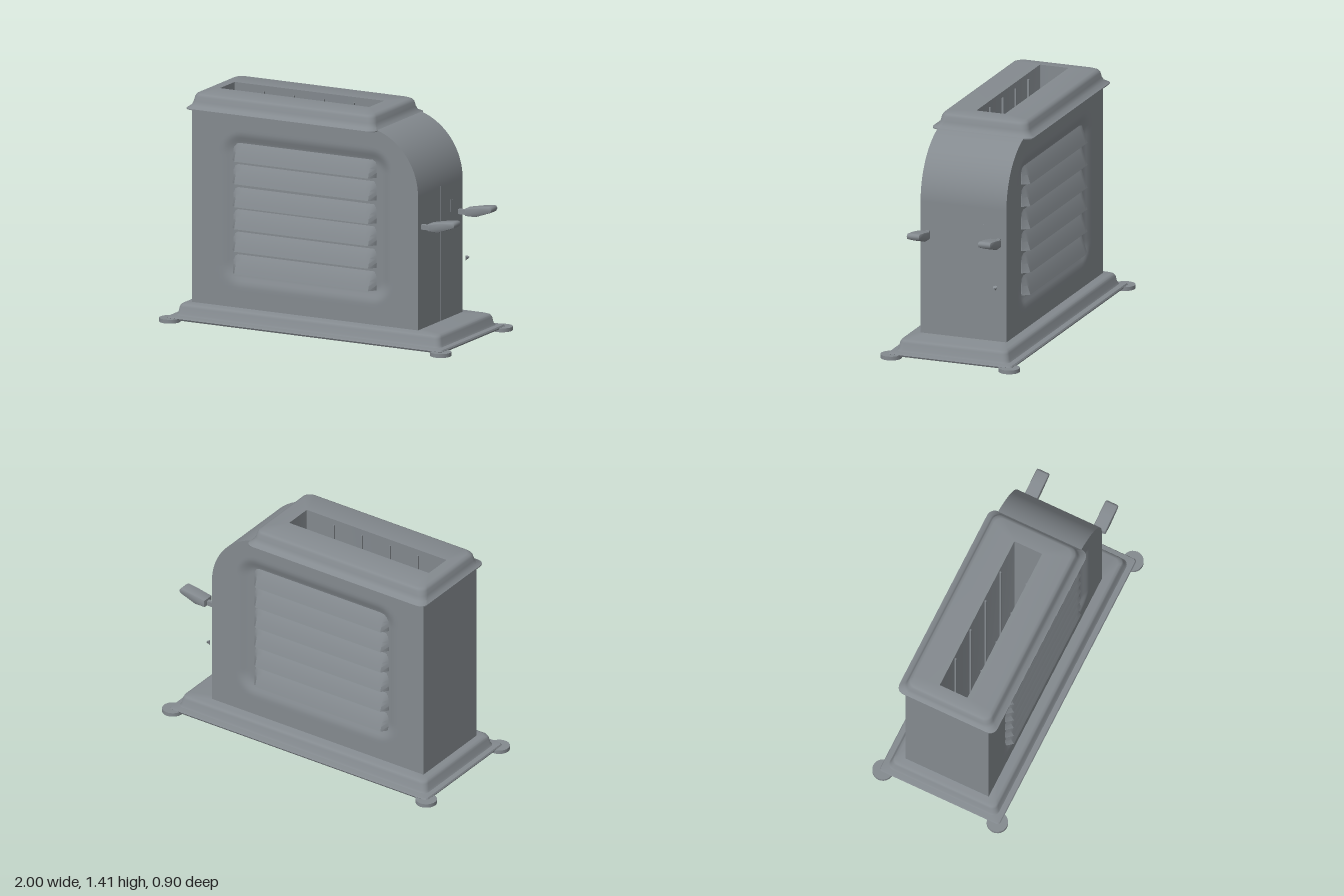
import * as THREE from 'three';
import { toCreasedNormals } from 'three/addons/utils/BufferGeometryUtils.js';

// Rounded rectangle ring: half sizes, corner radius, height, centre x
function ring(hx, hz, r, y, cx = 0) {
  const pts = [], sx = [1, -1, -1, 1], sz = [1, 1, -1, -1], n = 6;
  r = Math.min(r, hx, hz);
  for (let k = 0; k < 4; k++) for (let j = 0; j <= n; j++) {
    const a = (k + j / n) * Math.PI / 2;
    pts.push([cx + sx[k] * (hx - r) + r * Math.cos(a), y, sz[k] * (hz - r) + r * Math.sin(a)]);
  }
  return pts;
}

// Skin a stack of rings
function loft(rings, crease = 0.7) {
  const n = rings[0].length, idx = [];
  for (let k = 0; k < rings.length - 1; k++) for (let i = 0; i < n; i++) {
    const a = k * n + i, b = k * n + (i + 1) % n;
    idx.push(a, a + n, b, b, a + n, b + n);
  }
  const g = new THREE.BufferGeometry();
  g.setAttribute('position', new THREE.Float32BufferAttribute(rings.flat(2), 3));
  g.setIndex(idx);
  g.computeVertexNormals();
  return toCreasedNormals(g, crease);
}

// Height of the body outline: flat top, then a quarter round to the right end
const R = 0.4, CX = 0.32, CY = 0.94, W = 0.28;
const topAt = x => x < CX ? CY + R : CY + Math.sqrt(Math.max(0, R * R - (x - CX) ** 2));

// Pressed side panel with a soft rounded recess
function sidePanel(s) {
  const g = new THREE.PlaneGeometry(1, 1, 80, 64), p = g.attributes.position;
  for (let i = 0; i < p.count; i++) {
    const u = 0.5 + s * p.getX(i), v = p.getY(i) + 0.5;
    const x = -0.84 + 1.56 * Math.sin(u * Math.PI / 2);
    const y = 0.1 + v * (topAt(x) - 0.1);
    const qx = Math.abs(x + 0.05) - 0.45, qy = Math.abs(y - 0.72) - 0.34;
    const d = Math.hypot(Math.max(qx, 0), Math.max(qy, 0)) + Math.min(Math.max(qx, qy), 0) - 0.11;
    p.setXYZ(i, x, y, s * (W - 0.025 * (1 - THREE.MathUtils.smoothstep(d, -0.06, 0.03))));
  }
  g.computeVertexNormals();
  return g;
}

// Right end wall running up into the curved shoulder
function endWall() {
  const n = 28, g = new THREE.PlaneGeometry(1, 1, 1, n), p = g.attributes.position;
  for (let i = 0; i < p.count; i++) {
    const v = p.getY(i) + 0.5, z = -2 * W * p.getX(i);
    if (v < 0.001) p.setXYZ(i, CX + R, 0.1, z);
    else {
      const t = (v * n - 1) / (n - 1) * 1.45;
      p.setXYZ(i, CX + R * Math.cos(t), CY + R * Math.sin(t), z);
    }
  }
  g.computeVertexNormals();
  return g;
}

// Louver: wedge swelling out to its lower edge, tapered at both ends
function louverGeometry() {
  const half = 0.495, s = new THREE.Shape();
  s.moveTo(0, 0);
  s.lineTo(0.052, 0);
  s.quadraticCurveTo(0.03, 0.075, 0, 0.125);
  const g = new THREE.ExtrudeGeometry(s, { depth: half * 2, steps: 30, bevelEnabled: false, curveSegments: 5 });
  g.translate(0, 0, -half);
  g.rotateY(-Math.PI / 2); // outward depth to +z, length along x
  const p = g.attributes.position;
  for (let i = 0; i < p.count; i++) {
    const k = Math.min(1, (half - Math.abs(p.getX(i))) / 0.033);
    p.setZ(i, p.getZ(i) * (0.2 + 0.8 * k));
  }
  return toCreasedNormals(g, 0.7);
}

export function createModel() {
  const model = new THREE.Group();
  model.name = 'toaster';
  const steel = new THREE.MeshStandardMaterial({ color: 0x848a8f, side: THREE.DoubleSide });
  steel.name = 'grey steel';
  const add = (name, geo, x = 0, y = 0, z = 0) => {
    const m = new THREE.Mesh(geo, steel);
    m.name = name;
    m.position.set(x, y, z);
    model.add(m);
    return m;
  };

  // Base tray with flange and raised plinth
  add('base', loft([
    ring(0.002, 0.002, 0.001, 0.022), ring(0.945, 0.4, 0.02, 0.015), ring(0.95, 0.405, 0.02, 0.025),
    ring(0.945, 0.4, 0.02, 0.034), ring(0.915, 0.368, 0.04, 0.038), ring(0.907, 0.36, 0.04, 0.05),
    ring(0.9, 0.353, 0.04, 0.088), ring(0.893, 0.346, 0.04, 0.102), ring(0.875, 0.328, 0.04, 0.11),
    ring(0.002, 0.002, 0.001, 0.11),
  ]));

  // Round feet at the corners
  for (const sx of [-1, 1]) for (const sz of [-1, 1])
    add('foot', new THREE.CylinderGeometry(0.065, 0.065, 0.024, 24), sx * 0.935, 0.012, sz * 0.385);

  // Body shell
  add('frontPanel', sidePanel(1));
  add('backPanel', sidePanel(-1));
  add('rightEndWall', endWall());
  add('leftEndWall', new THREE.PlaneGeometry(2 * W, 1.23), -0.84, 0.715, 0).rotation.y = -Math.PI / 2;

  // Centre seam and small slot plate on the lever end
  add('seam', new THREE.BoxGeometry(0.004, 0.84, 0.006), 0.721, 0.53, 0);
  add('slotPlate', new THREE.BoxGeometry(0.004, 0.075, 0.03), 0.721, 0.8, -0.135);

  // Louvers on both sides
  const louver = louverGeometry();
  for (const s of [1, -1]) for (const y of [1.02, 0.88, 0.737, 0.6, 0.46, 0.32])
    add('louver', louver, -0.075, y, s * 0.25).rotation.y = s > 0 ? 0 : Math.PI;

  // Lid: flared skirt, rounded shoulder, then down into the bread slot
  const L = -0.215, S = -0.235;
  add('lidAndSlot', loft([
    ring(0.655, 0.33, 0.05, 1.314, L), ring(0.655, 0.33, 0.05, 1.32, L), ring(0.637, 0.3, 0.05, 1.335, L),
    ring(0.628, 0.288, 0.05, 1.36, L), ring(0.622, 0.282, 0.05, 1.388, L), ring(0.614, 0.274, 0.05, 1.402, L),
    ring(0.597, 0.257, 0.05, 1.41, L), ring(0.515, 0.093, 0.002, 1.41, S), ring(0.515, 0.093, 0.002, 0.2, S),
    ring(0.002, 0.002, 0.001, 0.2, S),
  ]));

  // Upright ribs inside the slot
  for (let i = 0; i < 4; i++) for (const s of [-1, 1])
    add('slotRib', new THREE.BoxGeometry(0.008, 1.15, 0.012), S - 0.31 + i * 0.207, 0.8, s * 0.088);

  // Two levers: thin arm and upswept grip
  const grip = new THREE.Shape();
  grip.moveTo(0.79, 0.737);
  grip.lineTo(0.85, 0.737);
  grip.lineTo(0.955, 0.775);
  grip.quadraticCurveTo(0.965, 0.79, 0.95, 0.795);
  grip.lineTo(0.88, 0.786);
  grip.lineTo(0.79, 0.768);
  const gripGeo = toCreasedNormals(new THREE.ExtrudeGeometry(grip, {
    depth: 0.064, bevelSize: 0.008, bevelThickness: 0.01, bevelSegments: 2, curveSegments: 5,
  }), 0.6);
  for (const s of [-1, 1]) {
    add('leverGrip', gripGeo, 0, 0, s * 0.232 - 0.032);
    add('leverArm', new THREE.BoxGeometry(0.09, 0.03, 0.025), 0.76, 0.745, s * 0.232);
  }

  // Tiny adjusting tip beside the lever end
  add('adjusterTip', new THREE.ConeGeometry(0.013, 0.03, 8), 0.775, 0.458, -0.23).rotation.z = Math.PI * 0.85;

  return model;
}
